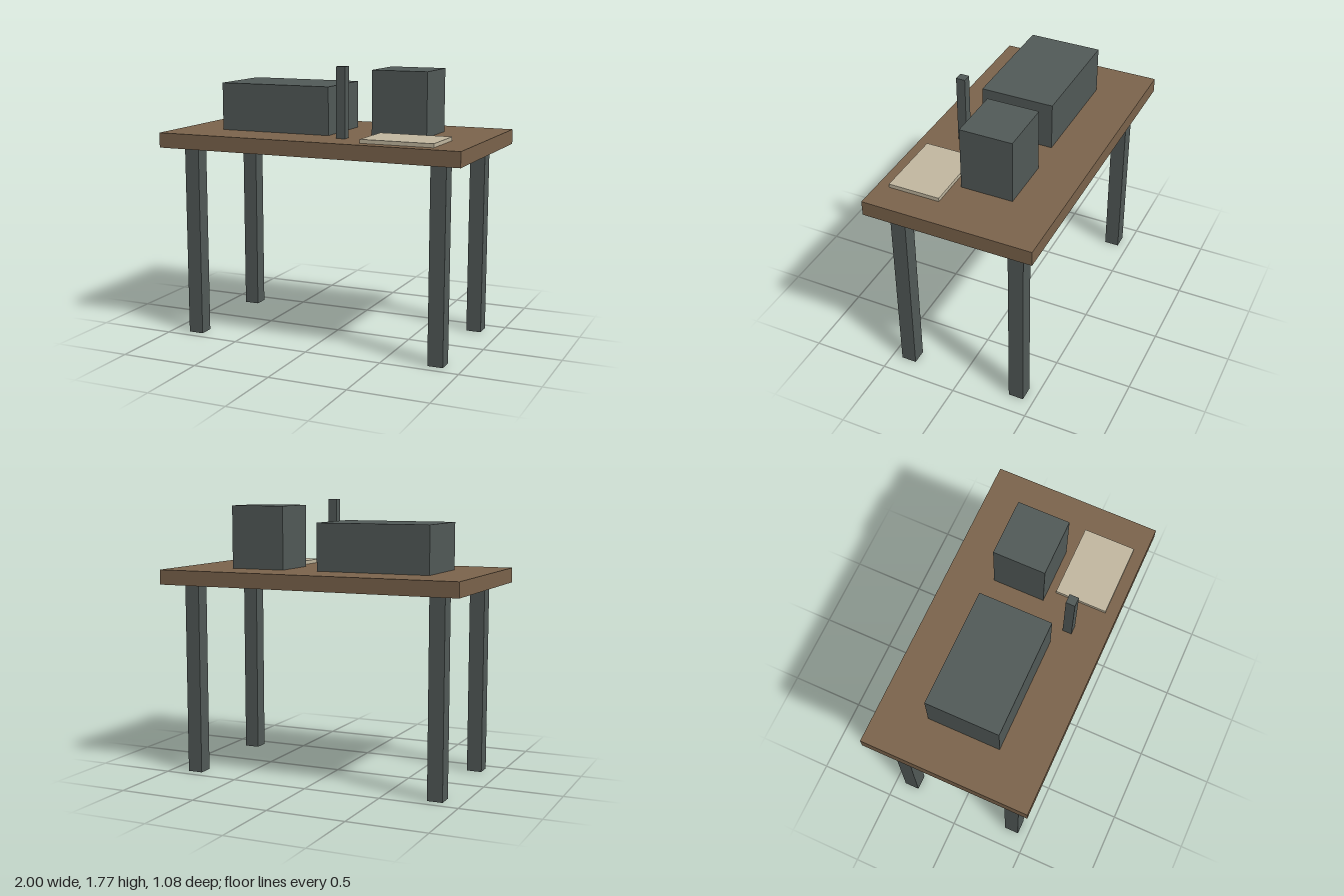
import * as THREE from 'three';

const wood = new THREE.MeshStandardMaterial({ name: 'brown wood', color: 0x7b644c });
const metal = new THREE.MeshStandardMaterial({ name: 'dark grey metal', color: 0x525a58 });
const paper = new THREE.MeshStandardMaterial({ name: 'cream paper', color: 0xc2b8a0 });

const UNDERSIDE = 1.235;
const TOP = 1.33;

// Box given by its extents along x, y and z
function block(name, material, [x0, x1], [y0, y1], [z0, z1]) {
  const mesh = new THREE.Mesh(new THREE.BoxGeometry(x1 - x0, y1 - y0, z1 - z0), material);
  mesh.name = name;
  mesh.position.set((x0 + x1) / 2, (y0 + y1) / 2, (z0 + z1) / 2);
  return mesh;
}

export function createModel() {
  const group = new THREE.Group();
  group.name = 'workbench';

  // Bench
  group.add(block('tabletop', wood, [-1, 1], [UNDERSIDE, TOP], [-0.541, 0.541]));
  for (const [xName, sx] of [['Right', -1], ['Left', 1]]) {
    for (const [zName, sz] of [['front', 1], ['back', -1]]) {
      const leg = block(`${zName}${xName}Leg`, metal, [-0.049, 0.049], [0, UNDERSIDE], [-0.049, 0.049]);
      leg.position.x = sx * 0.831;
      leg.position.z = sz * 0.384;
      group.add(leg);
    }
  }

  // Items standing on the bench
  group.add(
    block('longCase', metal, [-0.71, 0.038], [TOP, 1.633], [-0.235, 0.233]),
    block('tallCase', metal, [0.268, 0.632], [TOP, 1.734], [-0.25, 0.083]),
    block('post', metal, [0.135, 0.193], [TOP, 1.768], [0.271, 0.329]),
    block('paperStack', paper, [0.348, 0.812], [TOP, 1.354], [0.135, 0.465]),
  );
  return group;
}
